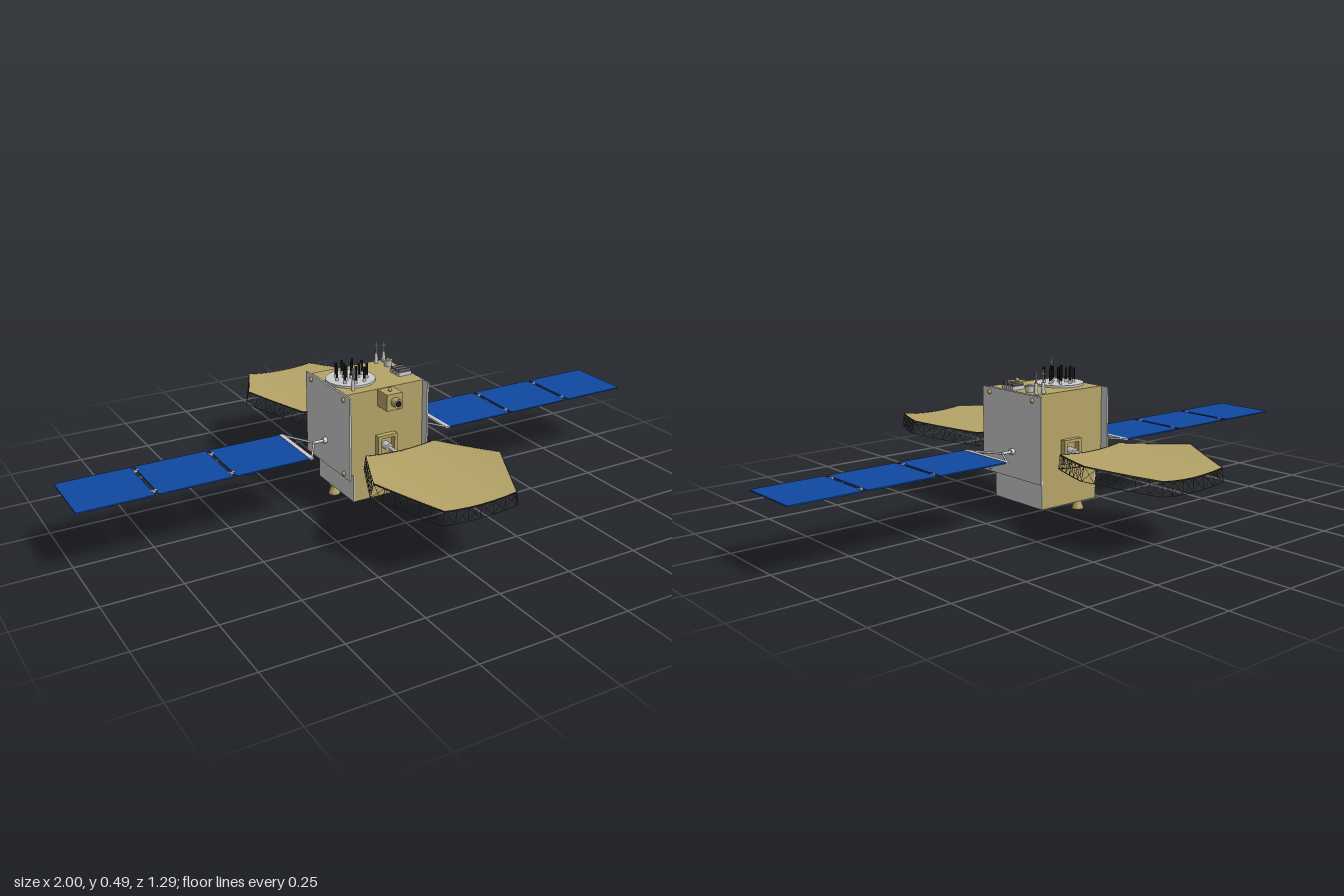
import * as THREE from 'three';
import { mergeGeometries } from 'three/addons/utils/BufferGeometryUtils.js';

const mat = (color, side = THREE.FrontSide) => new THREE.MeshStandardMaterial({ color, side });
const GREY = mat(0xcccccc);
const GOLD = mat(0xb5a468);
const GOLD_SHEET = mat(0xb5a468, THREE.DoubleSide);
const NET = mat(0x40392a, THREE.DoubleSide);
const STRUT = mat(0x4a4a48);
const BLUE = mat(0x1048a0);
const BLACK = mat(0x161616);
const V = (x, y, z) => new THREE.Vector3(x, y, z);

function add(parent, name, geo, material, x = 0, y = 0, z = 0) {
  const m = new THREE.Mesh(geo, material);
  m.name = name;
  m.position.set(x, y, z);
  parent.add(m);
  return m;
}

// box given by its limits on each axis
function box(parent, name, material, [x0, x1], [y0, y1], [z0, z1]) {
  return add(parent, name, new THREE.BoxGeometry(x1 - x0, y1 - y0, z1 - z0), material,
    (x0 + x1) / 2, (y0 + y1) / 2, (z0 + z1) / 2);
}

// round bar between two points
function bar(a, b, r, sides = 4, r2 = r) {
  const d = b.clone().sub(a);
  const g = new THREE.CylinderGeometry(r2, r, d.length(), sides);
  g.applyQuaternion(new THREE.Quaternion().setFromUnitVectors(V(0, 1, 0), d.normalize()));
  const c = a.clone().add(b).multiplyScalar(0.5);
  return g.translate(c.x, c.y, c.z);
}

// hexagonal reflector, bowed across x, with a perimeter truss
const HALF_Z = 0.217, FLAT_X = 0.125, WIDE_X = 0.225;
const bow = x => 0.236 + 0.57 * x * x;

function sheet(drop) {
  const g = new THREE.PlaneGeometry(2, 2 * HALF_Z, 16, 8).rotateX(-Math.PI / 2);
  const p = g.attributes.position;
  for (let i = 0; i < p.count; i++) {
    const z = p.getZ(i);
    const x = p.getX(i) * (WIDE_X + (FLAT_X - WIDE_X) * Math.abs(z) / HALF_Z);
    p.setXYZ(i, x, bow(x) - drop, z);
  }
  g.computeVertexNormals();
  return g;
}

function reflector() {
  const g = new THREE.Group();
  g.name = 'reflector';
  add(g, 'reflectorSurface', sheet(0), GOLD_SHEET);
  add(g, 'reflectorBackNet', sheet(0.004), NET);
  const corners = [[WIDE_X, 0], [FLAT_X, HALF_Z], [-FLAT_X, HALF_Z], [-WIDE_X, 0], [-FLAT_X, -HALF_Z], [FLAT_X, -HALF_Z]];
  const top = [], low = [], n = 6;
  corners.forEach(([x0, z0], k) => {
    const [x1, z1] = corners[(k + 1) % 6];
    for (let i = 0; i < n; i++) {
      const x = x0 + (x1 - x0) * i / n, z = z0 + (z1 - z0) * i / n;
      top.push(V(x, bow(x), z));
      // lower chord is offset along the surface normal
      low.push(V(x, bow(x), z).addScaledVector(V(-1.14 * x, 1, 0).normalize(), -0.044));
    }
  });
  const bars = [];
  top.forEach((t, i) => {
    const j = (i + 1) % top.length;
    bars.push(bar(t, top[j], 0.0014), bar(low[i], low[j], 0.0014), bar(t, low[i], 0.0012),
      bar(t, low[j], 0.0008), bar(low[i], top[j], 0.0008));
  });
  add(g, 'perimeterTruss', mergeGeometries(bars), STRUT);
  return g;
}

// solar wing along +x (s = 1) or -x (s = -1)
function solarWing(s) {
  const g = new THREE.Group();
  g.name = s > 0 ? 'leftSolarWing' : 'rightSolarWing';
  const y = 0.222, zc = -0.01, span = (a, b) => s > 0 ? [a, b] : [-b, -a];
  for (const [a, b] of [[0.262, 0.508], [0.519, 0.754], [0.766, 1]])
    box(g, 'solarPanel', BLUE, span(a, b), [y - 0.002, y + 0.002], [-0.12, 0.1]);
  for (const x of [0.513, 0.76]) for (const z of [-0.09, 0.07])
    box(g, 'panelHinge', GREY, span(x - 0.009, x + 0.009), [y - 0.004, y + 0.003], [z - 0.004, z + 0.004]);
  box(g, 'innerRail', GREY, span(0.247, 0.262), [y - 0.003, y + 0.003], [-0.12, 0.1]);
  add(g, 'yoke', mergeGeometries([
    bar(V(s * 0.14, y, zc), V(s * 0.192, y, zc), 0.005, 10),
    bar(V(s * 0.19, y, zc), V(s * 0.25, y, zc - 0.1), 0.0035, 8),
    bar(V(s * 0.19, y, zc), V(s * 0.25, y, zc + 0.1), 0.0035, 8)]), GREY);
  add(g, 'driveHub', new THREE.CylinderGeometry(0.01, 0.01, 0.016, 16).rotateZ(Math.PI / 2), GREY, s * 0.15, y, zc);
  return g;
}

// small antenna mast with a crossed tip
function mast(parent, x, z, h) {
  const y = 0.417;
  add(parent, 'antennaMast', mergeGeometries([
    bar(V(x, y, z), V(x, y + 0.035, z), 0.007, 10, 0.005),
    bar(V(x, y + 0.035, z), V(x, y + h, z), 0.0025, 6),
    bar(V(x - 0.01, y + h - 0.013, z), V(x + 0.01, y + h - 0.013, z), 0.0015),
    bar(V(x, y + h - 0.013, z - 0.01), V(x, y + h - 0.013, z + 0.01), 0.0015)]), GREY);
}

export function createModel() {
  const root = new THREE.Group();
  root.name = 'satellite';

  // body: wide upper section, narrower lower section, overhanging side panels
  box(root, 'upperBody', GOLD, [-0.139, 0.139], [0.14, 0.417], [-0.117, 0.117]);
  box(root, 'lowerBody', GOLD, [-0.113, 0.113], [0.045, 0.14], [-0.117, 0.117]);
  for (const s of [-1, 1]) {
    add(root, 'sidePanel', new THREE.BoxGeometry(0.006, 0.28, 0.29), GREY, s * 0.142, 0.276, 0);
    add(root, 'lowerSidePanel', new THREE.BoxGeometry(0.004, 0.095, 0.234), GREY, s * 0.114, 0.0925, 0);
    for (const [y, z] of [[0.4, 0.108], [0.4, -0.106], [0.15, 0.108]])
      add(root, 'cornerSensor', new THREE.SphereGeometry(0.008, 14, 10), GOLD, s * 0.145, y, z);
    root.add(solarWing(s));

    // reflector, its boom and gimbal housing on the front or back face
    const dish = reflector();
    dish.position.z = s > 0 ? 0.427 : -0.431;
    root.add(dish);
    for (const [w, h, x, y] of [[0.07, 0.01, 0, 0.257], [0.07, 0.01, 0, 0.187], [0.01, 0.08, 0.03, 0.222], [0.01, 0.08, -0.03, 0.222]])
      add(root, 'gimbalFrame', new THREE.BoxGeometry(w, h, 0.02), GOLD, x, y, s * 0.126);
    add(root, 'boom', mergeGeometries([
      bar(V(0, 0.222, s * 0.115), V(0, 0.222, s * 0.145), 0.013, 16),
      bar(V(0, 0.222, s * 0.14), V(0, 0.222, s * 0.195), 0.006, 12),
      bar(V(0, 0.222, s * 0.19), V(0, 0.222, s * 0.215), 0.006, 12, 0.016)]), GREY);
  }

  // sensor housing high on the front face
  box(root, 'sensorHousing', GOLD, [-0.028, 0.028], [0.36, 0.415], [0.115, 0.175]);
  add(root, 'sensorBarrel', bar(V(0, 0.388, 0.17), V(0, 0.388, 0.198), 0.015, 20), GOLD);
  add(root, 'sensorLens', bar(V(0, 0.388, 0.19), V(0, 0.388, 0.199), 0.010, 20), BLACK);
  add(root, 'sensorKnob', new THREE.SphereGeometry(0.007, 12, 8), GOLD, 0, 0.419, 0.145);

  // main engine below
  const bell = [[0, 0.047], [0.02, 0.047], [0.02, 0.038], [0.014, 0.03], [0.013, 0.022], [0.017, 0.01], [0.02, 0], [0.017, 0], [0.01, 0.022], [0, 0.024]];
  add(root, 'engineBell', new THREE.LatheGeometry(bell.map(p => new THREE.Vector2(...p)), 24), GOLD_SHEET, -0.093, 0, -0.056);

  // round antenna deck with its cluster of rods
  add(root, 'antennaDeck', new THREE.CylinderGeometry(0.08, 0.08, 0.008, 40), GREY, -0.06, 0.42, 0);
  const rods = [], bases = [];
  for (const [count, r] of [[1, 0], [5, 0.025], [9, 0.05]])
    for (let i = 0; i < count; i++) {
      const a = i / count * Math.PI * 2 + r * 8;
      const x = -0.06 + r * Math.cos(a), z = 0.005 + r * Math.sin(a);
      bases.push(bar(V(x, 0.42, z), V(x, 0.434, z), 0.006, 10, 0.004));
      rods.push(bar(V(x, 0.432, z), V(x, 0.471, z), 0.004, 8));
    }
  add(root, 'rodBases', mergeGeometries(bases), GREY);
  add(root, 'antennaRods', mergeGeometries(rods), BLACK);

  // masts and instruments on the top deck
  mast(root, -0.1, 0.088, 0.072);
  mast(root, 0.093, -0.097, 0.074);
  mast(root, 0.122, -0.097, 0.07);
  add(root, 'deckCup', new THREE.CylinderGeometry(0.015, 0.012, 0.022, 20), GREY, 0.113, 0.427, -0.055);
  add(root, 'deckCupCore', new THREE.CylinderGeometry(0.009, 0.009, 0.004, 16), GOLD, 0.113, 0.438, -0.055);
  for (const z of [0.008, 0.028, 0.048]) {
    box(root, 'instrumentBox', GREY, [0.088, 0.136], [0.417, 0.429], [z - 0.007, z + 0.007]);
    add(root, 'instrumentTube', bar(V(0.09, 0.433, z), V(0.134, 0.433, z), 0.005, 12), STRUT);
  }
  return root;
}
